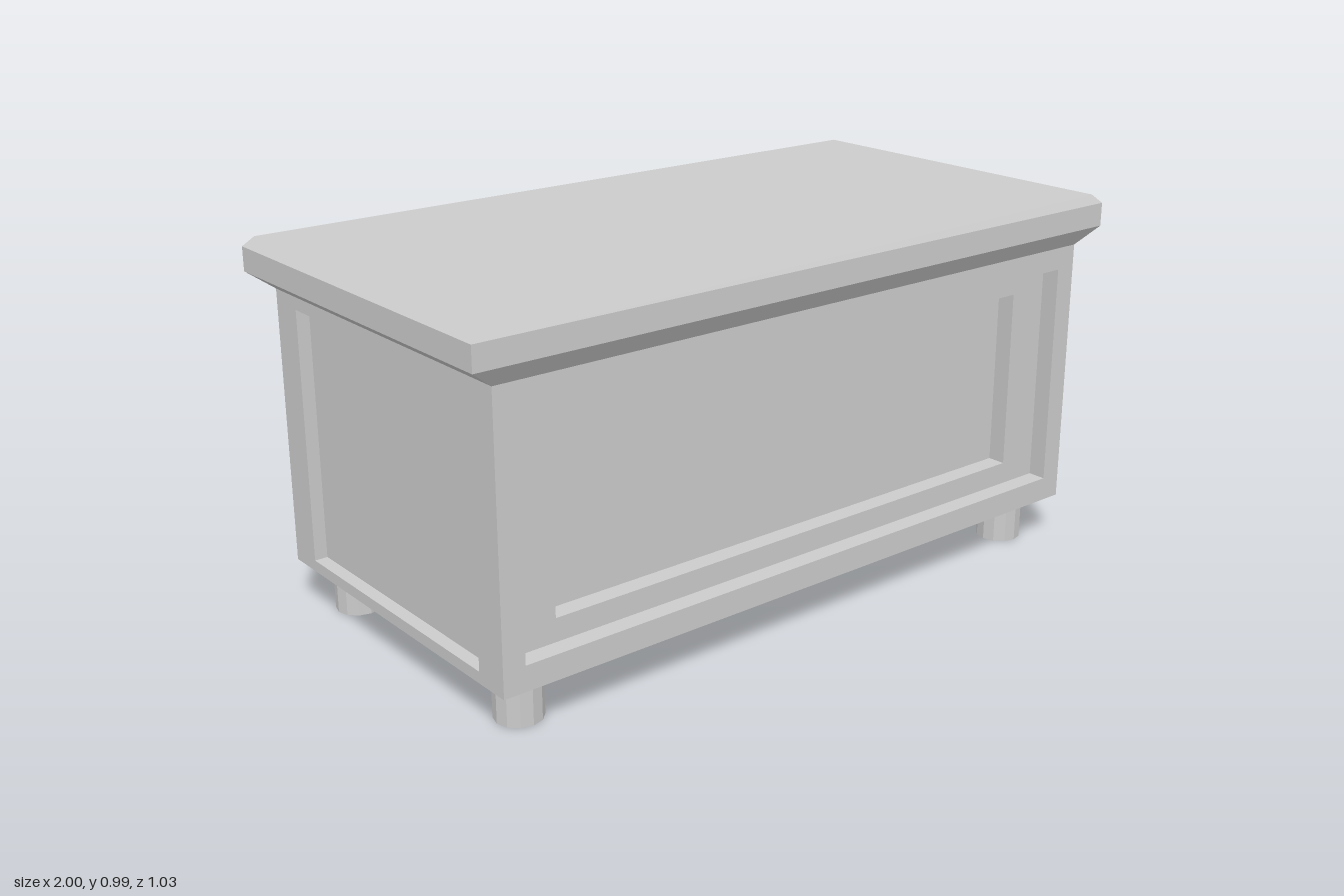
import * as THREE from 'three';

const material = new THREE.MeshStandardMaterial({ color: 0xcccccc, flatShading: true });

const BOTTOM = 0.125, TOP = 0.855; // body height range
const HALF_X = 0.935, HALF_Z = 0.483; // body half sizes
const SIDE_DEPTH = 0.035, FRONT_DEPTH = 0.05; // panel recess depths

function addMesh(parent, name, geometry) {
  const mesh = new THREE.Mesh(geometry, material);
  mesh.name = name;
  parent.add(mesh);
  return mesh;
}

function rectangle(path, halfWidth, y0, y1) {
  path.moveTo(-halfWidth, y0);
  path.lineTo(halfWidth, y0);
  path.lineTo(halfWidth, y1);
  path.lineTo(-halfWidth, y1);
  path.closePath();
  return path;
}

// Body-height board with a rectangular opening, from z = 0 to z = depth
function frame(halfWidth, holeHalfWidth, holeY0, holeY1, depth) {
  const shape = rectangle(new THREE.Shape(), halfWidth, BOTTOM, TOP);
  shape.holes.push(rectangle(new THREE.Path(), holeHalfWidth, holeY0, holeY1));
  return new THREE.ExtrudeGeometry(shape, { depth, bevelEnabled: false });
}

// Box whose horizontal rows are moved to the given [y, halfX, halfZ] sections, top first
function steppedSlab(sections) {
  const box = new THREE.BoxGeometry(2, 2, 2, 1, sections.length - 1, 1);
  const p = box.attributes.position;
  for (let i = 0; i < p.count; i++) {
    const row = Math.round((1 - p.getY(i)) / 2 * (sections.length - 1));
    const [y, hx, hz] = sections[row];
    p.setXYZ(i, Math.sign(p.getX(i)) * hx, y, Math.sign(p.getZ(i)) * hz);
  }
  const slab = box.toNonIndexed();
  slab.computeVertexNormals();
  return slab;
}

export function createModel() {
  const model = new THREE.Group();
  model.name = 'chest';

  // Solid core behind the frames
  const coreX = HALF_X - SIDE_DEPTH;
  const coreFront = HALF_Z - 2 * FRONT_DEPTH;
  const core = addMesh(model, 'bodyCore',
    new THREE.BoxGeometry(2 * coreX, TOP - BOTTOM, coreFront + HALF_Z));
  core.position.set(0, (TOP + BOTTOM) / 2, (coreFront - HALF_Z) / 2);

  // Front panel, recessed in two steps
  addMesh(model, 'frontInnerFrame', frame(coreX, 0.757, 0.25, 0.735, FRONT_DEPTH))
    .position.z = coreFront;
  addMesh(model, 'frontOuterFrame', frame(coreX, 0.875, 0.19, 0.795, FRONT_DEPTH))
    .position.z = HALF_Z - FRONT_DEPTH;

  // Side panels
  for (const side of [-1, 1]) {
    const panel = addMesh(model, side > 0 ? 'leftSideFrame' : 'rightSideFrame',
      frame(HALF_Z, 0.385, 0.155, 0.822, SIDE_DEPTH));
    panel.rotation.y = side * Math.PI / 2;
    panel.position.x = side * coreX;
  }

  // Top with chamfered edge above and flared moulding below
  addMesh(model, 'top', steppedSlab([
    [0.99, 0.973, 0.5],
    [0.966, 1, 0.515],
    [0.903, 1, 0.515],
    [TOP, HALF_X, HALF_Z],
  ]));

  // Round feet
  const footGeometry = new THREE.CylinderGeometry(0.061, 0.061, BOTTOM, 12);
  for (const x of [-1, 1]) {
    for (const z of [-1, 1]) {
      const name = (z > 0 ? 'front' : 'back') + (x > 0 ? 'Left' : 'Right') + 'Foot';
      addMesh(model, name, footGeometry).position.set(x * 0.825, BOTTOM / 2, z * 0.371);
    }
  }

  return model;
}
